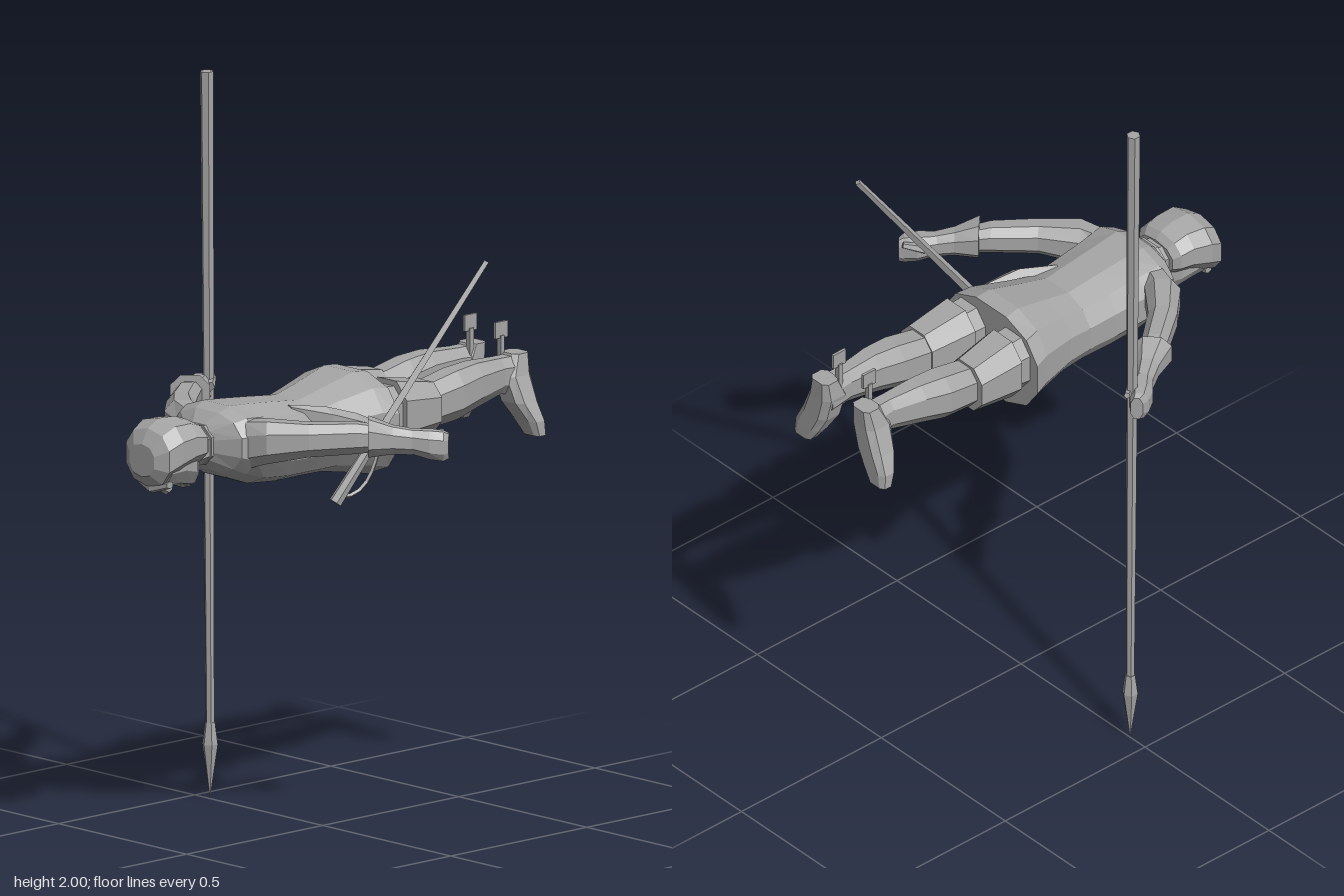
import * as THREE from 'three';

const V = (x, y, z) => new THREE.Vector3(x, y, z);
const X = V(1, 0, 0), Y = V(0, 1, 0), Z = V(0, 0, 1);

// Faceted skin over sections [x, y, z, halfWidth, halfHeight]; side and up span each section
function loft(sections, side, up, n = 8, e = 0.85) {
  const axis = side.clone().cross(up);
  const first = V(...sections[0].slice(0, 3)), last = V(...sections.at(-1).slice(0, 3));
  const list = last.sub(first).dot(axis) < 0 ? [...sections].reverse() : sections;
  const bend = v => Math.sign(v) * Math.abs(v) ** e;
  const rings = list.map(([x, y, z, w, h]) => Array.from({ length: n }, (_, j) => {
    const a = (j + 0.5) / n * Math.PI * 2;
    return V(x, y, z).addScaledVector(side, w * bend(Math.cos(a))).addScaledVector(up, h * bend(Math.sin(a)));
  }));
  const pts = [];
  for (let j = 0; j < n; j++) {
    const k = (j + 1) % n;
    for (let i = 0; i < rings.length - 1; i++) {
      const a = rings[i][j], b = rings[i][k], c = rings[i + 1][k], d = rings[i + 1][j];
      pts.push(a, b, c, a, c, d);
    }
    const c0 = V(...list[0].slice(0, 3)), c1 = V(...list.at(-1).slice(0, 3));
    pts.push(c0, rings[0][k], rings[0][j], c1, rings.at(-1)[j], rings.at(-1)[k]);
  }
  const g = new THREE.BufferGeometry().setFromPoints(pts);
  g.computeVertexNormals();
  return g;
}

// Tapered rod between two points
function rod(a, b, ra, rb, n = 6) {
  const d = b.clone().sub(a);
  const g = new THREE.CylinderGeometry(rb, ra, d.length(), n);
  g.applyQuaternion(new THREE.Quaternion().setFromUnitVectors(Y, d.normalize()));
  return g.translate((a.x + b.x) / 2, (a.y + b.y) / 2, (a.z + b.z) / 2);
}

// Section across z given as top and bottom heights
const span = (z, x, w, top, bottom) => [x, (top + bottom) / 2, z, w, (top - bottom) / 2];

export function createModel() {
  const root = new THREE.Group();
  root.name = 'proneFigure';
  const grey = new THREE.MeshStandardMaterial({ color: 0xa6a6a6, flatShading: true });
  grey.name = 'plain grey';
  const add = (name, geometry, parent = root) => {
    const m = new THREE.Mesh(geometry, grey);
    m.name = name;
    parent.add(m);
    return m;
  };
  const group = name => {
    const g = new THREE.Group();
    g.name = name;
    root.add(g);
    return g;
  };

  // Tunic, back upwards, hem lower at the belly
  const tunic = loft([
    span(0.46, 0, 0.06, 1.175, 1.07), span(0.425, 0, 0.14, 1.21, 1.04), span(0.39, 0, 0.16, 1.225, 1.02),
    span(0.32, 0, 0.15, 1.22, 0.995), span(0.22, 0, 0.142, 1.21, 0.985), span(0.13, 0, 0.137, 1.2, 0.985),
    span(0.05, 0, 0.15, 1.22, 0.985), span(-0.06, 0, 0.178, 1.25, 0.965), span(-0.107, 0, 0.192, 1.245, 0.955),
  ], X, Y, 12);
  add('tunic', tunic);

  // Neck and collar
  add('neck', loft([span(0.44, 0, 0.06, 1.175, 1.07), span(0.5, 0, 0.055, 1.17, 1.06)], X, Y));
  add('collar', loft([span(0.45, 0, 0.065, 1.18, 1.065), span(0.465, 0, 0.065, 1.18, 1.065)], X, Y));

  // Head, face down, with a close hood round it
  const head = group('head');
  add('skull', loft([
    span(0.495, 0, 0.045, 1.13, 1.015), span(0.52, 0, 0.068, 1.17, 1.015), span(0.57, 0, 0.078, 1.19, 1.025),
    span(0.62, 0, 0.075, 1.18, 1.025), span(0.645, 0, 0.05, 1.15, 1.06),
  ], X, Y, 10), head);
  add('hood', loft([
    span(0.482, 0, 0.07, 1.175, 1.085), span(0.5, 0, 0.087, 1.195, 1.08), span(0.54, -0.002, 0.092, 1.21, 1.07),
    span(0.595, -0.006, 0.1, 1.212, 1.05), span(0.635, -0.008, 0.088, 1.19, 1.03), span(0.657, -0.008, 0.05, 1.15, 1.06),
  ], X, Y, 10), head);
  add('nose', loft([[0, 1.02, 0.565, 0.016, 0.009], [0, 1.02, 0.575, 0.014, 0.022], [0, 1.03, 0.605, 0.009, 0.012]], X, Y, 6), head);
  add('chin', loft([[0, 1.035, 0.5, 0.02, 0.02], [0, 1.03, 0.515, 0.032, 0.021], [0, 1.035, 0.54, 0.035, 0.015]], X, Y, 6), head);
  add('brow', loft([[-0.06, 1.042, 0.617, 0.012, 0.01], [0, 1.025, 0.625, 0.014, 0.013], [0.06, 1.042, 0.617, 0.012, 0.01]], Z, Y, 6), head);

  for (const s of [1, -1]) {
    const label = s > 0 ? 'left' : 'right';
    const flip = list => list.map(([x, ...rest]) => [x * s, ...rest]);

    // Arm with a flared gauntlet
    const arm = group(label + 'Arm');
    const across = V(0.716 * s, 0, 0.698);
    add('sleeve', loft(flip([
      [0.10, 1.125, 0.385, 0.045, 0.07], [0.165, 1.14, 0.36, 0.052, 0.062], [0.25, 1.147, 0.285, 0.042, 0.048],
      [0.33, 1.15, 0.185, 0.038, 0.044], [0.375, 1.145, 0.12, 0.028, 0.034],
    ]), across, Y), arm);
    add('gauntlet', loft(flip([
      [0.348, 1.152, 0.16, 0.057, 0.056], [0.388, 1.142, 0.107, 0.034, 0.04], [0.42, 1.135, 0.065, 0.028, 0.036],
    ]), across, Y), arm);
    add('hand', loft(flip([
      [0.415, 1.137, 0.07, 0.028, 0.034], [0.45, 1.128, 0.03, 0.035, 0.042],
      [0.475, 1.123, 0.003, 0.027, 0.043], [0.48, 1.122, -0.012, 0.018, 0.036],
    ]), across, Y), arm);
    add('thumb', rod(V(0.415 * s, 1.14, 0.025), V(0.452 * s, 1.155, -0.022), 0.015, 0.009, 5), arm);

    // Leg: thigh, boot cuff, shaft and splayed foot
    const leg = group(label + 'Leg');
    add('thigh', loft([span(-0.08, 0.09 * s, 0.073, 1.215, 1.03), span(-0.2, 0.09 * s, 0.068, 1.205, 1.05)], X, Y), leg);
    add('bootCuff', loft([span(-0.148, 0.094 * s, 0.083, 1.225, 1.03), span(-0.285, 0.1 * s, 0.068, 1.2, 1.05)], X, Y), leg);
    add('bootShaft', loft([
      span(-0.27, 0.092 * s, 0.056, 1.19, 1.06), span(-0.38, 0.094 * s, 0.06, 1.213, 1.07),
      span(-0.46, 0.092 * s, 0.05, 1.22, 1.09), span(-0.56, 0.085 * s, 0.037, 1.215, 1.11), span(-0.63, 0.085 * s, 0.04, 1.215, 1.1),
    ], X, Y), leg);
    add('foot', loft(flip([
      [0.083, 1.217, -0.628, 0.035, 0.029], [0.088, 1.16, -0.612, 0.044, 0.045], [0.11, 1.09, -0.617, 0.05, 0.04],
      [0.135, 1.04, -0.63, 0.048, 0.027], [0.15, 1.0, -0.637, 0.034, 0.02],
    ]), X, Z, 8, 0.6), leg);

    // Spur behind the heel
    const spur = new THREE.BoxGeometry(0.008, 0.045, 0.045).translate(0.06 * s, 1.278, -0.598);
    add('spurWheel', spur, leg);
    add('spurStem', new THREE.BoxGeometry(0.016, 0.075, 0.014).translate(0.06 * s, 1.225, -0.598), leg);
  }

  // Sword at the left hip
  const sword = group('sword');
  const pommel = V(0.192, 0.94, 0.135), guard = V(0.224, 1.08, 0.04), tip = V(0.335, 1.56, -0.287);
  add('scabbard', rod(guard, tip, 0.014, 0.009, 4), sword);
  add('grip', rod(pommel, guard, 0.018, 0.015), sword);
  add('guardPlate', rod(guard.clone().lerp(pommel, 0.07), guard.clone().lerp(tip, 0.03), 0.028, 0.024), sword);
  const bow = new THREE.QuadraticBezierCurve3(V(0.197, 0.955, 0.12), V(0.218, 0.94, 0.04), V(0.228, 1.07, 0.01));
  add('knuckleBow', new THREE.TubeGeometry(bow, 6, 0.006, 4), sword);

  // Hanger joining belt and sword
  add('hanger', loft([
    [0.07, 1.185, 0.19, 0.012, 0.012], [0.13, 1.15, 0.11, 0.03, 0.04],
    [0.163, 1.12, 0.03, 0.028, 0.045], [0.176, 1.11, -0.035, 0.008, 0.025],
  ], X, Y, 6), sword);

  // Spear in the right hand, point downwards
  const spear = group('spear');
  add('shaft', rod(V(-0.44, 0.2, 0), V(-0.44, 2, 0.012), 0.012, 0.019), spear);
  const point = [[0, 0], [0.022, 0.15], [0.014, 0.21], [0, 0.21]].map(p => new THREE.Vector2(...p));
  add('spearhead', new THREE.LatheGeometry(point, 6).translate(-0.44, 0, 0), spear);

  return root;
}
